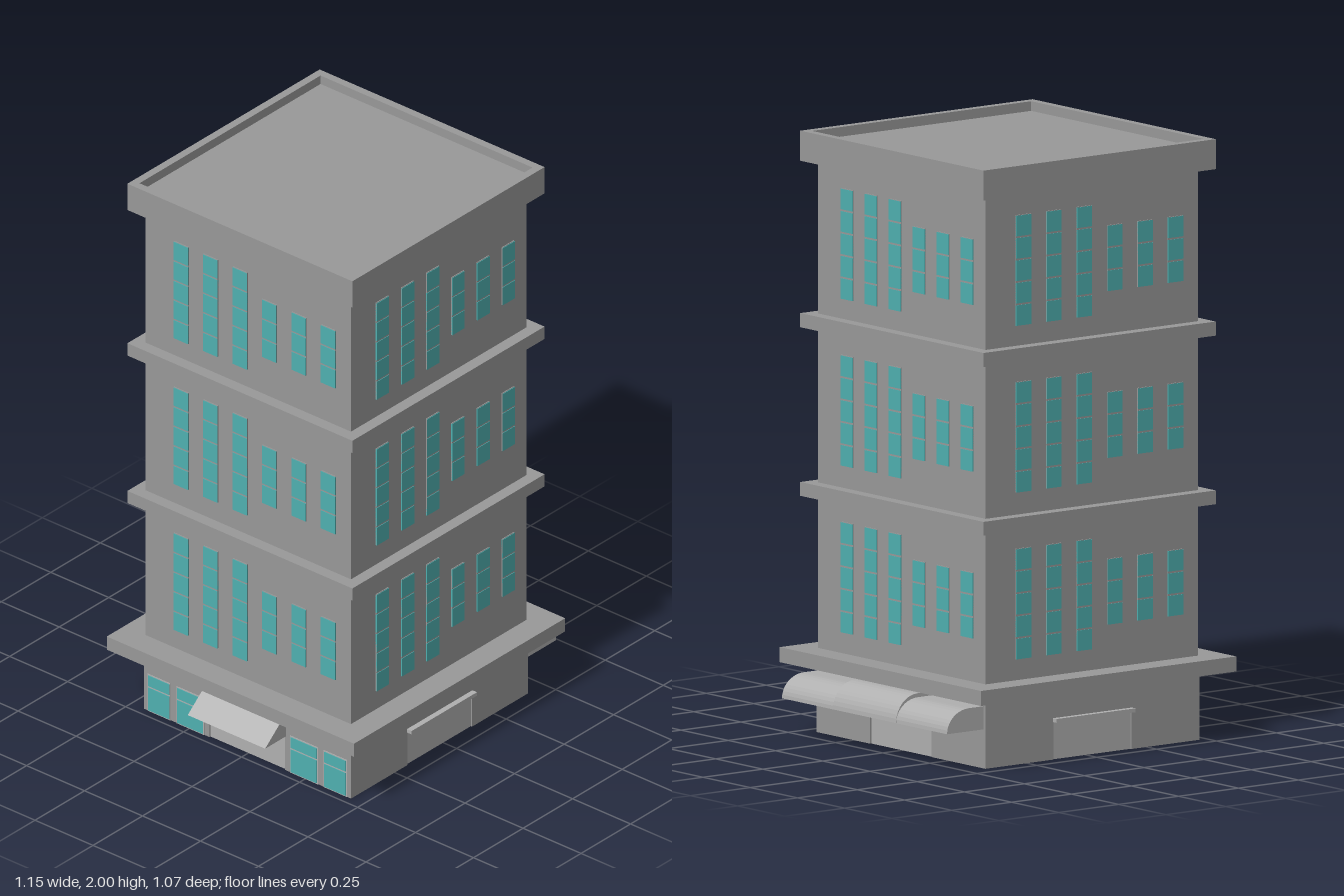
import * as THREE from 'three';
import { mergeGeometries } from 'three/addons/utils/BufferGeometryUtils.js';

const grey = new THREE.MeshStandardMaterial({ color: 0x999999, side: THREE.DoubleSide });
const paleGrey = new THREE.MeshStandardMaterial({ color: 0xb0b0b0, side: THREE.DoubleSide });
const teal = new THREE.MeshStandardMaterial({ color: 0x4fb0b0 });

const WALL = 0.443, GROUND = 0.447, CENTRE_X = -0.0235;

function add(parent, name, geometry, material = grey) {
  const mesh = new THREE.Mesh(geometry, material);
  mesh.name = name;
  parent.add(mesh);
  return mesh;
}

// Box given by its limits on each axis
function box(x0, x1, y0, y1, z0, z1) {
  return new THREE.BoxGeometry(x1 - x0, y1 - y0, z1 - z0)
    .translate((x0 + x1) / 2, (y0 + y1) / 2, (z0 + z1) / 2);
}

const slab = (half, y0, y1) => box(-half, half, y0, y1, -half, half);

// Upper windows: three tall columns of five panes, three short columns of three
function addWindows(side) {
  const frames = [], panes = [];
  for (let floor = 0; floor < 3; floor++) {
    const base = 0.35 + floor * 0.555;
    for (let col = 0; col < 6; col++) {
      const x = -0.287 + col * 0.127;
      const [first, last] = col < 3 ? [0, 4] : [1, 3];
      const low = base + first * 0.0745, high = base + last * 0.0745 + 0.07;
      frames.push(box(x - 0.031, x + 0.031, low, high, WALL - 0.005, WALL + 0.003));
      for (let row = first; row <= last; row++) {
        const y = base + row * 0.0745;
        panes.push(box(x - 0.031, x + 0.031, y, y + 0.068, WALL, WALL + 0.005));
      }
    }
  }
  add(side, 'windowFrames', mergeGeometries(frames));
  add(side, 'windowPanes', mergeGeometries(panes), teal);
}

// Ground wall with a doorway, and a door set back in it
function addGroundWall(side) {
  const wall = new THREE.Shape([
    [-GROUND, 0], [-0.163, 0], [-0.163, 0.13], [0.163, 0.13],
    [0.163, 0], [GROUND, 0], [GROUND, 0.23], [-GROUND, 0.23],
  ].map(([x, y]) => new THREE.Vector2(x, y)));
  add(side, 'groundWall', new THREE.ExtrudeGeometry(wall, { depth: 0.01, bevelEnabled: false })
    .translate(0, 0, GROUND - 0.01));
  add(side, 'door', box(-0.163, 0.163, 0, 0.13, GROUND - 0.018, GROUND - 0.005), paleGrey);
}

// Hollow awning: outline points run from the wall to the lower outer edge
function addAwning(side, x0, x1, outline) {
  const t = 0.006;
  const inner = outline.map(([d, y]) => [d * 0.95, 0.13 + (y - 0.13) * 0.93]);
  const toShape = (pts) => new THREE.Shape(pts.map(([d, y]) => new THREE.Vector2(d, y)));
  const extrude = (pts, from, to) => new THREE.ExtrudeGeometry(toShape(pts),
    { depth: to - from, bevelEnabled: false })
    .rotateY(-Math.PI / 2).translate(to, 0, GROUND);
  const awning = new THREE.Group();
  awning.name = 'awning';
  side.add(awning);
  add(awning, 'awningCover', extrude([...outline, ...inner.reverse()], x0, x1), paleGrey);
  const cap = [[0, 0.13], ...outline];
  add(awning, 'awningEnd', extrude(cap, x0, x0 + t), paleGrey);
  add(awning, 'awningEnd', extrude(cap, x1 - t, x1), paleGrey);
}

// Rounded awning outline: short flat top, then a quarter ellipse
function roundedOutline(height) {
  const points = [[0, 0.13 + height]];
  for (let i = 0; i <= 10; i++) {
    const a = (1 - i / 10) * Math.PI / 2;
    points.push([0.062 + 0.09 * Math.cos(a), 0.13 + height * Math.sin(a)]);
  }
  return points;
}

// Shop windows either side of a door
function addShopWindows(side) {
  for (const s of [-1, 1]) {
    for (const [a, b] of [[0.185, 0.305], [0.33, 0.43]]) {
      const x0 = Math.min(s * a, s * b), x1 = Math.max(s * a, s * b);
      add(side, 'shopWindowFrame', box(x0, x1, 0, 0.14, GROUND - 0.016, GROUND + 0.002), paleGrey);
      for (const [y0, y1] of [[0.004, 0.09], [0.096, 0.136]]) {
        add(side, 'shopWindow', box(x0 + 0.004, x1 - 0.004, y0, y1, GROUND, GROUND + 0.004), teal);
      }
    }
  }
}

export function createModel() {
  const model = new THREE.Group();
  model.name = 'officeBuilding';
  const building = new THREE.Group();
  building.name = 'building';
  building.position.x = CENTRE_X;
  model.add(building);

  // Tower and its ledges
  add(building, 'tower', slab(WALL, 0.25, 1.93));
  add(building, 'groundLedge', slab(0.533, 0.23, 0.28));
  add(building, 'floorLedge', slab(0.485, 0.785, 0.831));
  add(building, 'floorLedge', slab(0.485, 1.346, 1.393));

  // Flat roof with a raised rim
  add(building, 'roof', slab(0.47, 1.9, 1.968));
  const square = (h) => [[-h, -h], [h, -h], [h, h], [-h, h]].map(([x, y]) => new THREE.Vector2(x, y));
  const rim = new THREE.Shape(square(0.485));
  rim.holes.push(new THREE.Path(square(0.457)));
  add(building, 'parapet', new THREE.ExtrudeGeometry(rim, { depth: 0.1, bevelEnabled: false })
    .rotateX(-Math.PI / 2).translate(0, 1.9, 0));

  // Four sides, in the order front, left, back, right
  ['frontSide', 'leftSide', 'backSide', 'rightSide'].forEach((name, i) => {
    const side = new THREE.Group();
    side.name = name;
    side.rotation.y = i * Math.PI / 2;
    building.add(side);
    addWindows(side);
    addGroundWall(side);
    if (i % 2 === 0) {
      add(side, 'doorLedge', box(-0.165, 0.165, 0.125, 0.138, GROUND - 0.005, GROUND + 0.02), paleGrey);
    }
    if (i === 1) {
      addAwning(side, -0.437, -0.168, roundedOutline(0.077));
      addAwning(side, -0.167, 0.167, roundedOutline(0.09));
      addAwning(side, 0.168, 0.437, roundedOutline(0.077));
    }
    if (i === 3) {
      addAwning(side, -0.167, 0.167, [[0, 0.218], [0.106, 0.13]]);
      addShopWindows(side);
    }
  });
  return model;
}
